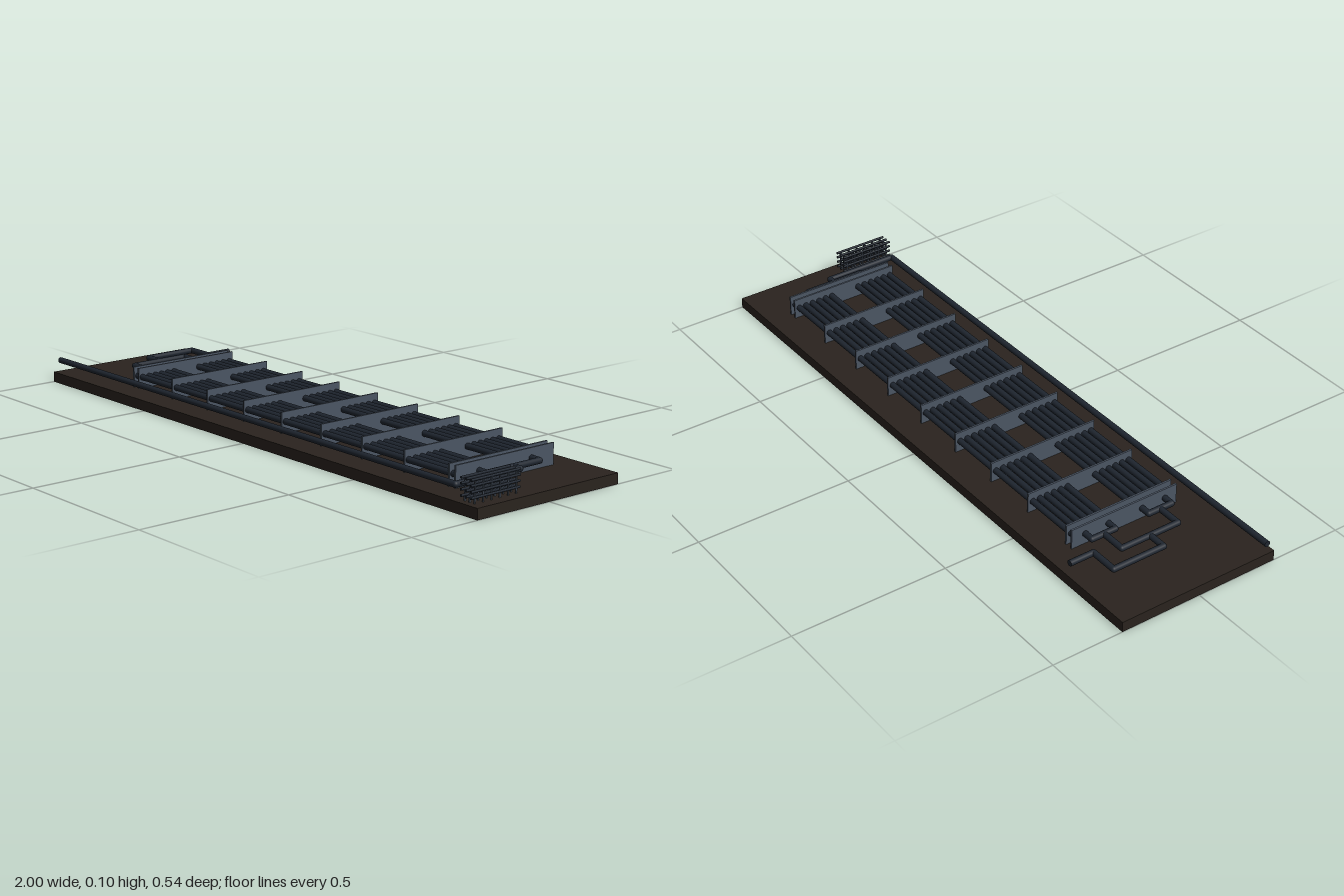
import * as THREE from 'three';

const mat = (color) => new THREE.MeshStandardMaterial({ color });

export function createModel() {
  const model = new THREE.Group();
  const groundMat = mat(0x2a231e), plateMat = mat(0x4b5563), pipeMat = mat(0x1f2630);
  const Y = 0.068, R = 0.0095, GROUND = 0.033;

  const group = (name) => {
    const g = new THREE.Group();
    g.name = name;
    model.add(g);
    return g;
  };
  const box = (parent, name, w, h, d, x, y, z, m) => {
    const mesh = new THREE.Mesh(new THREE.BoxGeometry(w, h, d), m);
    mesh.name = name;
    mesh.position.set(x, y, z);
    parent.add(mesh);
  };
  // Straight round bar between two points
  const bar = (parent, name, a, b, r, m, sides = 16) => {
    const dir = b.clone().sub(a);
    const mesh = new THREE.Mesh(new THREE.CylinderGeometry(r, r, dir.length(), sides), m);
    mesh.name = name;
    mesh.position.copy(a).add(b).multiplyScalar(0.5);
    mesh.quaternion.setFromUnitVectors(new THREE.Vector3(0, 1, 0), dir.normalize());
    parent.add(mesh);
  };
  // Level pipe run through [x, z] points, with round elbows
  const run = (parent, name, points) => {
    const pts = points.map(([x, z]) => new THREE.Vector3(x, Y, z));
    for (let i = 1; i < pts.length; i++) {
      bar(parent, name, pts[i - 1], pts[i], R, pipeMat);
      if (i < pts.length - 1) {
        const elbow = new THREE.Mesh(new THREE.SphereGeometry(R, 16, 10), pipeMat);
        elbow.name = 'elbow';
        elbow.position.copy(pts[i]);
        parent.add(elbow);
      }
    }
  };

  // Ground slab
  box(model, 'groundSlab', 2, GROUND, 0.536, 0, GROUND / 2, 0, groundMat);

  // Support plates, doubled at both ends
  const plates = group('supportPlates');
  const plateXs = [-0.665, 0.825];
  for (let i = 0; i < 9; i++) plateXs.push(-0.64 + i * 0.18);
  for (const x of plateXs) box(plates, 'supportPlate', 0.006, 0.065, 0.374, x, GROUND + 0.0325, -0.001, plateMat);

  // Two banks of parallel tubes
  const banks = group('tubeBanks');
  for (const side of [-1, 1])
    for (let i = 0; i < 6; i++) {
      const z = side * (0.05 + i * 0.0245);
      run(banks, 'tube', [[-0.665, z], [0.825, z]]);
    }

  // Branching inlet manifold
  const inlet = group('inletManifold');
  run(inlet, 'inletPipe', [[-0.75, -0.258], [-0.75, -0.175], [-0.84, -0.175], [-0.84, 0], [-0.78, 0]]);
  run(inlet, 'splitPipe', [[-0.7, -0.1], [-0.78, -0.1], [-0.78, 0.1], [-0.7, 0.1]]);
  for (const s of [-1, 1])
    run(inlet, 'branchPipe', [[-0.66, s * 0.06], [-0.7, s * 0.06], [-0.7, s * 0.142], [-0.66, s * 0.142]]);

  // Outlet manifold and return pipe along the front edge
  const outlet = group('outletManifold');
  run(outlet, 'collectorPipe', [[0.825, -0.1], [0.86, -0.1], [0.86, 0.1], [0.825, 0.1]]);
  run(outlet, 'returnPipe', [[0.86, 0], [0.885, 0], [0.885, 0.24], [-1, 0.24]]);

  // Lattice rack: posts, cross bars and stacked pipes
  const rack = group('pipeRack');
  const rows = [0.05, 0.067, 0.084, 0.1];
  for (let i = 0; i < 6; i++) {
    const z = 0.092 + i * 0.0306;
    for (const x of [0.927, 0.946, 0.965])
      box(rack, 'rackPost', 0.004, 0.07, 0.004, x, GROUND + 0.035, z, plateMat);
    for (const y of rows) box(rack, 'crossBar', 0.042, 0.004, 0.004, 0.946, y - 0.004, z, plateMat);
  }
  for (const y of rows)
    for (const x of [0.927, 0.946, 0.965])
      bar(rack, 'rackPipe', new THREE.Vector3(x, y, 0.079), new THREE.Vector3(x, y, 0.26), 0.0038, pipeMat, 10);

  return model;
}
